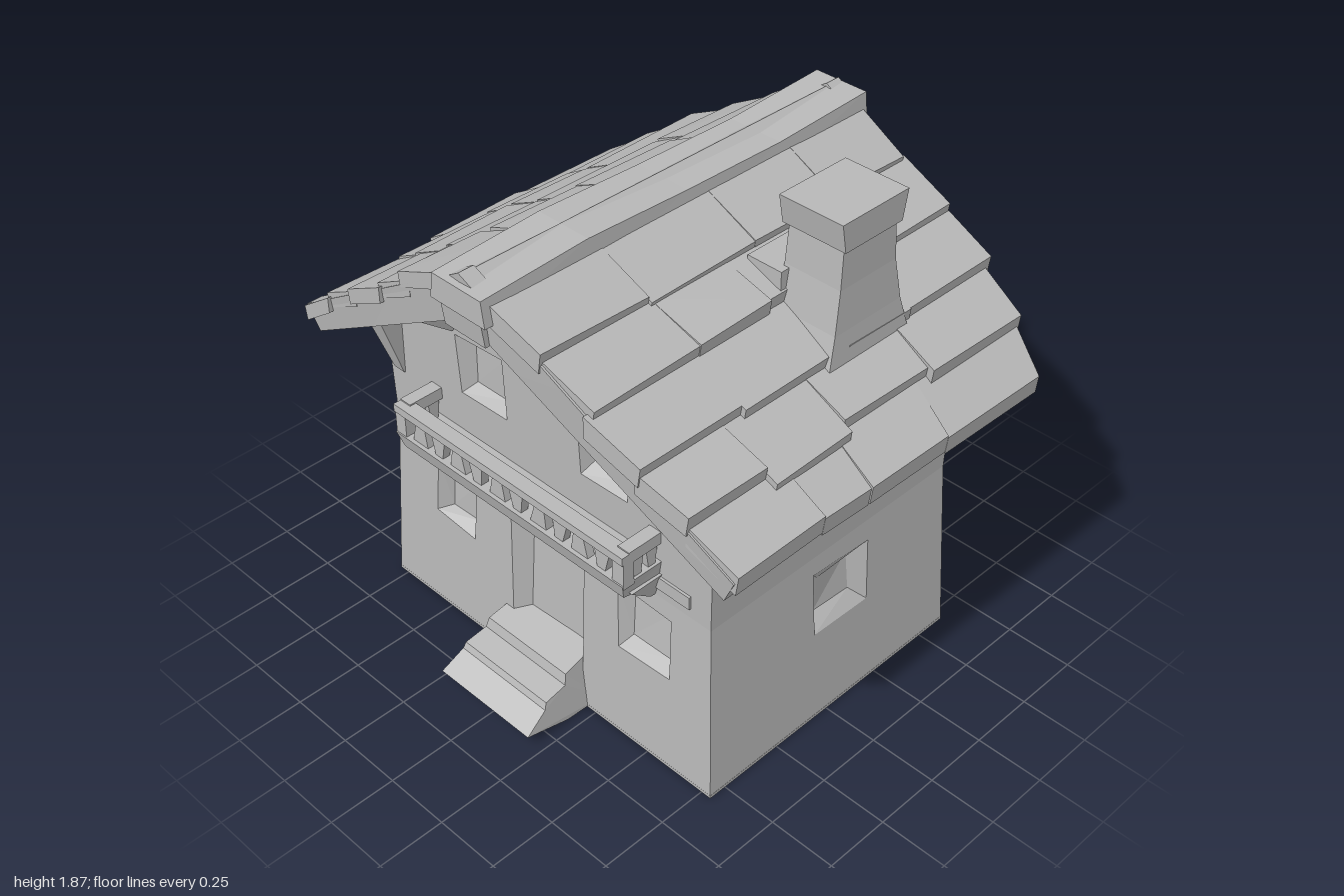
import * as THREE from 'three';

const stone = new THREE.MeshStandardMaterial({ color: 0xb8b8b8 });
stone.name = 'plain grey';

let seed = 7;
const rnd = (r) => {
  seed = (seed * 16807) % 2147483647;
  return (seed / 2147483647 - 0.5) * 2 * r;
};
const lerp = THREE.MathUtils.lerp;

export function createModel() {
  const model = new THREE.Group();
  model.name = 'cottage';

  // Faceted mesh added under a part name
  function add(name, geometry, parent = model) {
    const g = geometry.index ? geometry.toNonIndexed() : geometry;
    g.computeVertexNormals();
    const mesh = new THREE.Mesh(g, stone);
    mesh.name = name;
    parent.add(mesh);
  }
  function group(name) {
    const g = new THREE.Group();
    g.name = name;
    model.add(g);
    return g;
  }
  // Block whose unit coordinates (a, b, c in 0..1) are moved by a rule
  function block(rule, sa = 1, sb = 1, sc = 1) {
    const g = new THREE.BoxGeometry(1, 1, 1, sa, sb, sc);
    const p = g.attributes.position;
    for (let i = 0; i < p.count; i++)
      p.setXYZ(i, ...rule(p.getX(i) + 0.5, p.getY(i) + 0.5, p.getZ(i) + 0.5));
    return g;
  }
  const box = (x0, x1, y0, y1, z0, z1) =>
    block((a, b, c) => [lerp(x0, x1, a), lerp(y0, y1, b), lerp(z0, z1, c)]);

  // Walls lean in up to the upper storey; sides: 0 front, 1 +x, 2 back, 3 -x
  const MID = 0.7;
  const pinch = (y) => (y < MID ? 1 - 0.05 * y / MID : 0.95 + (y - MID) * 0.03);
  function place(k, x, y, z) {
    const [px, pz] = [[x, z], [z, -x], [-x, -z], [-z, x]][k];
    const s = pinch(y);
    return [px * s, y, pz * s - 0.025];
  }

  // One storey of wall with splayed openings: [centre, bottom, half width, height, inset, depth]
  function wall(name, k, H, outline, openings) {
    const shape = new THREE.Shape(outline.map((p) => new THREE.Vector2(...p)));
    const pos = [];
    const put = (...pts) => pts.forEach((p) => pos.push(...place(k, p[0], p[1], H + p[2])));
    for (const [u, y, w, h, inset, depth] of openings) {
      const corners = [[-1, 0], [1, 0], [1, 1], [-1, 1]];
      const o = corners.map(([a, b]) => [u + a * w + rnd(0.012), y + b * h + rnd(0.012), 0]);
      const n = corners.map(([a, b]) =>
        [u + a * (w - inset), y + inset + b * (h - 2 * inset), -depth + rnd(0.01)]);
      shape.holes.push(new THREE.Path(o.map((p) => new THREE.Vector2(p[0], p[1]))));
      for (let i = 0; i < 4; i++) {
        const j = (i + 1) % 4;
        put(o[i], o[j], n[j], o[i], n[j], n[i]);
      }
      put(n[0], n[1], n[2], n[0], n[2], n[3]);
    }
    const flat = new THREE.ShapeGeometry(shape).toNonIndexed().attributes.position;
    for (let i = 0; i < flat.count; i++) put([flat.getX(i), flat.getY(i), 0]);
    const g = new THREE.BufferGeometry();
    g.setAttribute('position', new THREE.Float32BufferAttribute(pos, 3));
    add(name, g, walls);
  }
  const walls = group('walls');
  const lower = (w) => [[-w, 0.01], [w, 0.01], [w, MID], [-w, MID]];
  const upper = (w) => [[-w, MID], [w, MID], [w, 1.19], [-w, 1.19]];
  const gable = [[-0.79, MID], [0.79, MID], [0.79, 1.19], [0, 1.66], [-0.79, 1.19]];
  wall('frontWall', 0, 0.595, lower(0.79), [
    [-0.465, 0.4, 0.1, 0.23, 0.03, 0.05], [0.48, 0.38, 0.125, 0.26, 0.04, 0.05],
    [0.005, 0.16, 0.18, 0.49, 0.05, 0.06]]);
  wall('frontGable', 0, 0.595, gable, [
    [-0.285, 1.02, 0.11, 0.23, 0.03, 0.05], [0.3, 1.01, 0.115, 0.24, 0.03, 0.05]]);
  wall('backWall', 2, 0.595, lower(0.79), [
    [-0.42, 0.39, 0.12, 0.24, 0.035, 0.05], [0.47, 0.39, 0.11, 0.23, 0.035, 0.05]]);
  wall('backGable', 2, 0.595, gable, [
    [-0.27, 1.02, 0.11, 0.23, 0.03, 0.05], [0.25, 1.02, 0.11, 0.23, 0.03, 0.05]]);
  for (const [k, u] of [[1, 0.04], [3, -0.06]]) {
    wall('sideWall', k, 0.79, lower(0.595), [[u, 0.37, 0.135, 0.25, 0.05, 0.04]]);
    wall('upperSideWall', k, 0.79, upper(0.595), []);
  }
  add('floor', box(-0.79, 0.79, 0, 0.012, -0.62, 0.57), walls);

  // Horizontal timbers across the gables
  const timber = (name, k, w, y0, y1, out) => add(name, block((a, b, c) =>
    place(k, lerp(-w, w, a), lerp(y0, y1, b), 0.595 + lerp(-0.03, out, c))), walls);
  timber('frontFloorBeam', 0, 0.7, 0.74, 0.79, 0.01);
  timber('backFloorBand', 2, 0.78, 0.68, 0.92, 0.012);
  for (const k of [0, 2]) timber('gableBeam', k, 0.42, 1.34, 1.375, 0.015);

  // Wedge brackets under the eaves and gables
  const brackets = group('brackets');
  const bracket = (k, u, w, y0, y1, H, reach) => add('bracket', block((a, b, c) =>
    place(k, u + (a - 0.5) * w * (0.6 + 0.4 * b), lerp(y0, y1, b),
      H + (c ? reach * (b ? 1 : 0.06) : -0.04))), brackets);
  for (const k of [0, 2]) {
    bracket(k, 0.015, 0.12, 1.38, 1.6, 0.595, 0.22);
    for (const s of [-1, 1]) bracket(k, s * 0.43, 0.07, 1.26, 1.38, 0.595, 0.16);
    bracket(k, -0.74, 0.09, 0.94, 1.19, 0.595, 0.09);
    bracket(k, 0.74, 0.05, 0.98, 1.19, 0.595, 0.09);
  }
  for (const k of [1, 3]) {
    const s = k === 1 ? -1 : 1;
    for (const [z, y0, w] of [[-0.53, 0.93, 0.11], [-0.19, 0.99, 0.09], [0.2, 0.99, 0.08]])
      bracket(k, s * z, w, y0, 1.085, 0.79, 0.17);
  }

  // Roof: top line, underside line and bowed gable edges
  const roof = group('roof');
  const topY = (x) => 1.815 - 0.655 * x;
  const underY = (x) => 1.628 - 0.61 * x;
  const frontZ = (x) => 0.825 - 0.125 * x;
  const backZ = (x) => -0.83 + 0.12 * x ** 5;
  const rows = [0.07, 0.29, 0.46, 0.64, 0.81, 0.985];
  for (const s of [-1, 1]) {
    // a is flipped on the mirrored side so that faces stay outward
    const side = (rule, ...seg) => block((a, b, c) => {
      const [x, y, z] = rule(s > 0 ? a : 1 - a, b, c);
      return [s * x, y, z];
    }, ...seg);
    add('roofDeck', side((a, b, c) => {
      const x = a * 0.95;
      return [x, b ? topY(x) - 0.03 : underY(x) + 0.035, lerp(backZ(x) + 0.03, frontZ(x) - 0.03, c)];
    }, 5), roof);
    for (const f of [-1, 1])
      add('gableBoard', side((a, b, c) => {
        const x = a * 0.94 + (a === 1 ? b * 0.045 : 0);
        const z = f > 0 ? frontZ(x) - (1 - c) * 0.06 : backZ(x) + c * 0.06;
        return [x, b ? topY(x) - 0.02 : underY(x), z - (b ? 0 : f * 0.015)];
      }, 5), roof);
    // Overlapping shingle planks, a little thicker on the chimney side
    const bulge = s > 0 ? 0.018 : 0;
    for (let i = 0; i < 5; i++) {
      const cuts = [rnd(0.008), 0.27 + rnd(0.07), 0.53 + rnd(0.1), 0.77 + rnd(0.06), 1 + rnd(0.008)];
      for (let j = 0; j < 4; j++) {
        const x0 = rows[i];
        const x1 = rows[i + 1] + (i < 4 ? 0.02 + rnd(0.03) : rnd(0.012));
        const lift = 0.014 + rnd(0.014) + (i > 0 ? bulge : 0);
        const skew = rnd(0.012);
        add('shingle', side((a, b, c) => {
          const x = lerp(x0, x1, a) + (a && b ? 0.01 : 0);
          const droop = i === 4 && a ? -0.025 : 0;
          const y = topY(x) + (a ? lift + (c - 0.5) * skew : -0.012) + droop - (b ? 0 : 0.06 + bulge);
          return [x, y, lerp(backZ(x), frontZ(x), lerp(cuts[j], cuts[j + 1], c))];
        }), roof);
      }
    }
  }
  add('ridgeCap', block((a, b, c) => [lerp(-0.11, 0.13, a) * (b ? 0.9 : 1),
    b ? 1.772 + 0.012 * Math.cos(c * 9) : 1.67, lerp(-0.835, 0.845, c)], 1, 1, 4), roof);
  for (const f of [-1, 1])
    add('ridgeEnd', block((a, b, c) => [lerp(-0.09, 0.09, a), lerp(1.57, 1.755, b),
      f * (b ? 0.79 : 0.765) + (c - 0.5) * 0.1]), roof);

  // Chimney
  const chimney = group('chimney');
  add('chimneyShaft', block((a, b, c) => {
    const t = 1 - (1 - b) ** 2;
    return [lerp(lerp(0.4, 0.455, t), lerp(0.7, 0.67, t), a), lerp(1.32, 1.77, b),
      lerp(lerp(-0.4, -0.325, t), lerp(-0.01, -0.085, t), c)];
  }, 1, 3, 1), chimney);
  add('chimneyCap', block((a, b, c) => [lerp(0.435, 0.685, a), lerp(1.76, 1.865, b),
    -0.205 + (c - 0.5) * (b ? 0.3 : 0.26)]), chimney);
  add('chimneyFlashing', block((a, b, c) => [lerp(0.33, 0.47, a), b ? 1.61 : 1.48,
    lerp(a ? -0.36 : -0.43, -0.04, c)]), chimney);

  // Balcony
  const balcony = group('balcony');
  add('balconyFloor', block((a, b, c) => [lerp(-0.54, 0.54, a) * (b ? 1 : 0.97),
    b ? 0.855 : c ? 0.79 : 0.755, lerp(0.52, b ? 0.71 : 0.69, c)]), balcony);
  add('frontRail', box(-0.54, 0.54, 0.94, 0.97, 0.655, 0.71), balcony);
  for (const s of [-1, 1]) {
    const x = s * 0.515;
    add('sideRail', box(x - 0.025, x + 0.025, 0.93, 0.975, 0.52, 0.68), balcony);
    add('railPost', box(x - 0.025, x + 0.025, 0.84, 0.95, 0.66, 0.705), balcony);
    for (const z of [0.575, 0.635])
      add('sideBaluster', block((a, b, c) => [x + (a - 0.5) * 0.03, lerp(0.84, 0.95, b),
        z + (c - 0.5) * (b ? 0.055 : 0.025)]), balcony);
    add('balconySupport', block((a, b, c) => [s * 0.5 + (a - 0.5) * (b ? 0.08 : 0.02),
      lerp(0.7, 0.8, b), c ? (b ? 0.67 : 0.56) : 0.52]), balcony);
  }
  for (let i = 0; i < 10; i++) {
    const x = -0.43 + i * 0.0956;
    const [wt, wb] = i % 2 ? [0.075, 0.03] : [0.035, 0.08];
    const lean = rnd(0.015);
    add('baluster', block((a, b, c) => [x + (a - 0.5) * (b ? wt : wb) + b * lean,
      lerp(0.84, 0.95, b), lerp(0.665, 0.695, c)]), balcony);
  }

  // Front steps
  const profile = [[0.5, 0], [0.66, 0.004], [0.84, 0.05], [0.75, 0.105], [0.74, 0.13],
    [0.65, 0.145], [0.64, 0.185], [0.5, 0.215]].map((p) => new THREE.Vector2(...p));
  const steps = new THREE.ExtrudeGeometry(new THREE.Shape(profile), { depth: 0.44, bevelEnabled: false });
  steps.rotateY(-Math.PI / 2).translate(0.21, 0, 0);
  const sp = steps.attributes.position;
  for (let i = 0; i < sp.count; i++)
    sp.setX(i, (sp.getX(i) + 0.015) * (1 - 0.9 * Math.max(0, sp.getY(i) - 0.05)) - 0.015);
  add('frontSteps', steps);

  return model;
}
